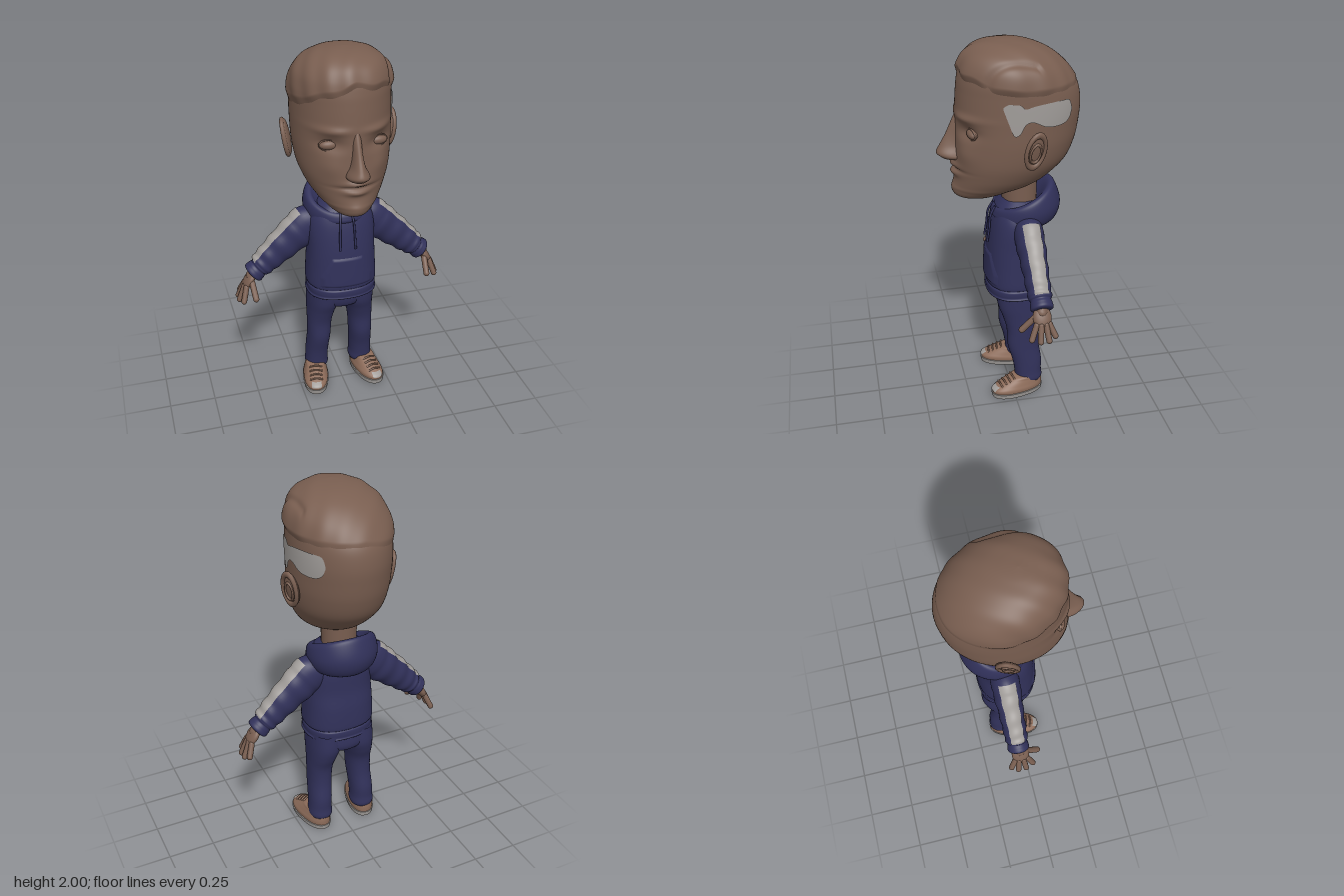
import * as THREE from 'three';

const material = (name, color) => {
  const m = new THREE.MeshStandardMaterial({ color, side: THREE.DoubleSide });
  m.name = name;
  return m;
};
const skin = material('skin brown', 0x795e50);
const navy = material('navy cloth', 0x31315a);
const grey = material('light grey', 0xa09c99);
const tan = material('shoe tan', 0x8d6c5a);

const V = (x, y, z) => new THREE.Vector3(x, y, z);
const TAU = Math.PI * 2;
const lerp = THREE.MathUtils.lerp;

// Smooth interpolation through table rows; t counts rows
function sample(rows, t) {
  const i = Math.min(Math.floor(t), rows.length - 2), f = t - i;
  const a = rows[Math.max(i - 1, 0)], b = rows[i], c = rows[i + 1], d = rows[Math.min(i + 2, rows.length - 1)];
  return b.map((_, k) => b[k] + 0.5 * f * (c[k] - a[k] + f * (2 * a[k] - 5 * b[k] + 4 * c[k] - d[k] + f * (3 * (b[k] - c[k]) + d[k] - a[k]))));
}
// Row position at a given height
function rowAt(rows, y) {
  let lo = 0, hi = rows.length - 1;
  for (let i = 0; i < 24; i++) {
    const m = (lo + hi) / 2;
    if (sample(rows, m)[0] < y) lo = m; else hi = m;
  }
  return sample(rows, lo);
}
// Point on a horizontal section [y, halfWidth, zFront, zBack, centreX]
function ring([y, rx, zf, zb, cx = 0], a, n = 2) {
  const c = Math.cos(a), s = Math.sin(a), pw = (q) => Math.sign(q) * Math.abs(q) ** (2 / n);
  return V(cx + rx * pw(c), y, (zf + zb) / 2 + (zf - zb) / 2 * pw(s));
}
// Grid surface from fn(u, v); side -1 mirrors it in x
function surface(name, mat, fn, nu, nv, closed = true, side = 1) {
  const pos = [], idx = [], w = closed ? nu : nu + 1;
  for (let j = 0; j <= nv; j++) for (let i = 0; i < w; i++) {
    const p = fn(i / nu, j / nv);
    pos.push(p.x * side, p.y, p.z);
  }
  for (let j = 0; j < nv; j++) for (let i = 0; i < nu; i++) {
    const a = j * w + i, b = j * w + (i + 1) % w, c = a + w, d = b + w;
    if (side > 0) idx.push(a, c, b, b, c, d); else idx.push(a, b, c, b, d, c);
  }
  const g = new THREE.BufferGeometry();
  g.setAttribute('position', new THREE.Float32BufferAttribute(pos, 3));
  g.setIndex(idx);
  g.computeVertexNormals();
  return mesh(name, g, mat);
}
function mesh(name, g, mat, p) {
  const m = new THREE.Mesh(g, mat);
  m.name = name;
  if (p) m.position.copy(p);
  return m;
}
const loft = (name, mat, rows, nu, nv, n = 2, side = 1) =>
  surface(name, mat, (u, v) => ring(sample(rows, v * (rows.length - 1)), u * TAU, n), nu, nv, true, side);
const tube = (name, mat, pts, r) => mesh(name, new THREE.TubeGeometry(new THREE.CatmullRomCurve3(pts), 16, r, 8), mat);
function ellipsoid(name, mat, p, sx, sy, sz) {
  const m = mesh(name, new THREE.SphereGeometry(1, 32, 20), mat, p);
  m.scale.set(sx, sy, sz);
  return m;
}
function capsule(name, mat, a, b, r) {
  const d = b.clone().sub(a), m = mesh(name, new THREE.CapsuleGeometry(r, d.length() - r, 6, 12), mat, a.clone().lerp(b, 0.5));
  m.quaternion.setFromUnitVectors(V(0, 1, 0), d.normalize());
  return m;
}

const HEAD = [
  [1.185, 0, 0.16, 0.16], [1.195, 0.08, 0.265, 0.05], [1.24, 0.14, 0.283, -0.08], [1.27, 0.168, 0.283, -0.16], [1.32, 0.2, 0.28, -0.23],
  [1.4, 0.232, 0.282, -0.305], [1.5, 0.248, 0.275, -0.345], [1.6, 0.252, 0.272, -0.362], [1.68, 0.253, 0.268, -0.367], [1.76, 0.252, 0.262, -0.355],
  [1.82, 0.248, 0.255, -0.325], [1.88, 0.23, 0.24, -0.275], [1.93, 0.19, 0.21, -0.21], [1.965, 0.135, 0.16, -0.13], [1.982, 0.07, 0.1, -0.05], [1.988, 0, 0.03, 0.03]];
// Face modelling: [x, y, depth, spreadX, spreadY], mirrored in x
const FACE = [[0.12, 1.575, -0.026, 0.06, 0.035], [0.12, 1.645, 0.014, 0.08, 0.02], [0, 1.378, 0.018, 0.06, 0.016],
  [0, 1.332, 0.02, 0.055, 0.016], [0, 1.356, -0.014, 0.1, 0.008], [0, 1.235, 0.014, 0.06, 0.035], [0.13, 1.46, 0.01, 0.05, 0.05]];

function head() {
  const g = new THREE.Group();
  g.name = 'head';
  g.add(surface('face and skull', skin, (u, v) => {
    const p = ring(sample(HEAD, v * 15), u * TAU);
    if (p.z > 0) for (const [x, y, d, sx, sy] of FACE)
      p.z += d * Math.exp(-(((Math.abs(p.x) - x) / sx) ** 2) - ((p.y - y) / sy) ** 2);
    return p;
  }, 96, 150));
  // Swept hair shell, thick in front and fading into the back
  g.add(surface('hair', skin, (u, v) => {
    const a = u * TAU, c = Math.cos(a), s = Math.sin(a);
    const start = 9.1 + 1.2 * Math.max(0, s) ** 1.5 - 0.9 * Math.max(0, -c) + 0.15 * Math.sin(a * 9) * Math.max(0, s);
    const p = ring(sample(HEAD, lerp(start, 15, v)), a);
    const rise = Math.min(1, v * 9), back = Math.max(0, -s);
    const strands = 0.0045 * Math.sin(70 * (p.x * 0.75 + p.z * 0.5) + 14 * p.y) * (1 - back * 0.8) * (1 - v);
    const part = -0.014 * Math.exp(-(((p.x - 0.2) / 0.012) ** 2)) * (s > -0.4 ? 1 : 0);
    const lift = -0.006 + rise * (0.019 - 0.008 * back * (1 - v) + strands + part * (1 - v));
    return p.add(V(p.x, p.y - 1.7, p.z + 0.04).normalize().multiplyScalar(lift));
  }, 128, 60));
  g.add(loft('nose', skin, [[1.395, 0, 0.27, 0.27], [1.402, 0.04, 0.325, 0.2], [1.418, 0.058, 0.352, 0.2], [1.438, 0.054, 0.37, 0.2],
    [1.475, 0.036, 0.353, 0.2], [1.53, 0.026, 0.322, 0.2], [1.6, 0.023, 0.29, 0.2], [1.66, 0.02, 0.262, 0.2]], 32, 35));
  for (const s of [-1, 1]) {
    g.add(ellipsoid('eye', skin, V(s * 0.12, 1.57, 0.2), 0.052, 0.026, 0.03));
    const lid = mesh('eyelid', new THREE.TorusGeometry(1, 0.13, 8, 32), skin, V(s * 0.12, 1.57, 0.214));
    lid.scale.set(0.052, 0.029, 0.045);
    lid.rotation.y = s * 0.35;
    g.add(lid);
    // Ear with rolled rim and inner fold
    const ear = new THREE.Group();
    ear.name = 'ear';
    ear.add(ellipsoid('ear bowl', skin, V(0, 0, 0), 0.016, 0.095, 0.056));
    for (const [k, y] of [[1, 0], [0.55, -0.01]]) {
      const rim = mesh('ear rim', new THREE.TorusGeometry(1, 0.2, 10, 32), skin, V(s * 0.01, y, 0.004));
      rim.rotation.y = Math.PI / 2;
      rim.scale.set(0.05 * k, 0.088 * k, 0.06);
      ear.add(rim);
    }
    ear.position.set(s * 0.266, 1.515, -0.082);
    ear.rotation.set(-0.12, s * 0.3, -s * 0.14);
    g.add(ear);
  }
  // Shaved light patch over the left ear: [z, bottom, top]
  const patch = [[-0.282, 1.685, 1.69], [-0.265, 1.64, 1.735], [-0.22, 1.62, 1.743], [-0.14, 1.625, 1.742], [-0.075, 1.655, 1.735],
    [-0.035, 1.645, 1.725], [-0.01, 1.6, 1.745], [0.02, 1.59, 1.748], [0.045, 1.65, 1.75], [0.07, 1.72, 1.735]];
  g.add(surface('side patch', grey, (u, v) => {
    const [z, lo, hi] = sample(patch, u * 9), y = lerp(lo, hi, v), [, rx, zf, zb] = rowAt(HEAD, y);
    const d = (z - (zf + zb) / 2) / ((zf - zb) / 2);
    return V(rx * Math.sqrt(Math.max(0, 1 - d * d)) + 0.006, y, z);
  }, 45, 10, false));
  g.add(mesh('neck', new THREE.CylinderGeometry(0.095, 0.09, 0.28, 32), skin, V(0, 1.17, -0.06)));
  return g;
}

const TORSO = [[0.61, 0, -0.04, -0.04], [0.612, 0.178, 0.11, -0.188], [0.63, 0.188, 0.122, -0.197], [0.66, 0.19, 0.124, -0.198], [0.672, 0.184, 0.118, -0.193],
  [0.69, 0.193, 0.125, -0.202], [0.8, 0.188, 0.121, -0.198], [0.9, 0.183, 0.114, -0.184], [1, 0.182, 0.1, -0.18], [1.07, 0.17, 0.084, -0.17],
  [1.12, 0.14, 0.065, -0.16], [1.16, 0.09, 0.03, -0.13]];

function hoodie() {
  const g = new THREE.Group();
  g.name = 'hoodie';
  g.add(loft('torso', navy, TORSO, 64, 66, 2.4));
  // Hood folded around the neck: [halfWidth, zFront, zBack, yFront, yBack]
  const hood = [[0.07, 0.01, -0.13, 1.06, 1.1], [0.13, 0.045, -0.19, 1.095, 1.215], [0.152, 0.06, -0.225, 1.115, 1.247], [0.178, 0.078, -0.25, 1.11, 1.225],
    [0.188, 0.088, -0.278, 1.09, 1.13], [0.174, 0.088, -0.25, 1.065, 1.045], [0.13, 0.05, -0.17, 1.03, 1]];
  g.add(surface('hood', navy, (u, v) => {
    const [rx, zf, zb, yf, yb] = sample(hood, (1 - v) * 6), a = u * TAU;
    return ring([lerp(yf, yb, (1 - Math.sin(a)) / 2), rx, zf, zb], a);
  }, 64, 36));
  // Front pouch following the belly
  g.add(surface('pouch', navy, (u, v) => {
    const y = lerp(0.69, 0.87, v), w = y < 0.75 ? 0.15 : lerp(0.15, 0.085, (y - 0.75) / 0.12);
    const [, rx, zf, zb] = rowAt(TORSO, y), x = w * (1 - 2 * u);
    const edge = Math.min(1, 12 * Math.min(u, 1 - u, v, 1 - v));
    return V(x, y, (zf + zb) / 2 + (zf - zb) / 2 * (1 - Math.abs(x / rx) ** 2.4) ** (1 / 2.4) + 0.009 * edge - 0.002);
  }, 48, 36, false));
  for (const s of [-1, 1])
    g.add(tube('drawstring', navy, [V(s * 0.03, 1.12, 0.075), V(s * 0.036, 1.07, 0.1), V(s * 0.04, 1, 0.108), V(s * 0.042, 0.92, 0.12)], 0.006));
  return g;
}

// Sleeve stations: [x, y, radius in the arm plane, radius in z]
const ARM = [[0.1, 1.055, 0.07, 0.06], [0.16, 1.02, 0.104, 0.076], [0.24, 0.955, 0.097, 0.074], [0.33, 0.88, 0.084, 0.066], [0.4, 0.818, 0.072, 0.062],
  [0.438, 0.785, 0.063, 0.06], [0.448, 0.776, 0.054, 0.053], [0.462, 0.764, 0.058, 0.057], [0.484, 0.744, 0.055, 0.054], [0.486, 0.742, 0, 0]];
function armPoint(t, a, extra = 0) {
  const [x, y, r, rz] = sample(ARM, t), n = V(-0.65, -0.76, 0);
  return V(x, y, -0.075).addScaledVector(n, (r + extra) * Math.cos(a)).add(V(0, 0, (rz + extra) * Math.sin(a)));
}

function arm(s) {
  const g = new THREE.Group();
  g.name = s > 0 ? 'left arm' : 'right arm';
  const wrinkle = (t, a) => 0.003 * Math.sin(t * 7 + Math.sin(a)) * (t > 1.5 && t < 5 ? 1 : 0);
  g.add(surface('sleeve', navy, (u, v) => armPoint(v * 9, u * TAU, wrinkle(v * 9, u * TAU)), 40, 72, true, s));
  g.add(surface('sleeve stripe', grey, (u, v) => {
    const t = lerp(1, 5, v), a = Math.PI + lerp(-0.6, 0.6, u);
    return armPoint(t, a, wrinkle(t, a) + 0.004);
  }, 12, 40, false, s));
  // Hand with spread fingers
  const P = (x, y, z) => V(s * x, y, z);
  const palm = ellipsoid('palm', skin, P(0.505, 0.712, -0.07), 0.024, 0.06, 0.048);
  palm.rotation.z = s * 0.6;
  g.add(palm, capsule('wrist', skin, P(0.465, 0.765, -0.073), P(0.5, 0.72, -0.07), 0.031));
  const fingers = [[0.522, -0.1, 0.552, 0.615, -0.132], [0.528, -0.083, 0.568, 0.6, -0.095], [0.53, -0.06, 0.568, 0.598, -0.05], [0.524, -0.04, 0.55, 0.605, -0.006]];
  for (const [x, z, tx, ty, tz] of fingers) g.add(capsule('finger', skin, P(x, 0.69, z), P(tx, ty, tz), 0.0155));
  g.add(capsule('thumb', skin, P(0.495, 0.715, -0.04), P(0.487, 0.635, 0.036), 0.0165));
  return g;
}

const LEG = [[0.07, 0.06, -0.025, -0.16, 0.13], [0.09, 0.066, -0.015, -0.167, 0.131], [0.13, 0.063, -0.012, -0.163, 0.131], [0.2, 0.063, 0, -0.163, 0.128],
  [0.3, 0.064, 0.026, -0.148, 0.122], [0.4, 0.068, 0.03, -0.15, 0.118], [0.48, 0.078, 0.05, -0.178, 0.108], [0.55, 0.09, 0.074, -0.195, 0.096], [0.64, 0.09, 0.085, -0.19, 0.093]];
const UPPER = [[0.02, 0.068, 0.145, -0.146], [0.045, 0.07, 0.145, -0.147], [0.065, 0.064, 0.115, -0.146], [0.09, 0.056, 0.065, -0.14], [0.108, 0.048, 0.02, -0.13], [0.115, 0, -0.05, -0.05]];

function shoe(s) {
  const g = new THREE.Group();
  g.name = s > 0 ? 'left shoe' : 'right shoe';
  const edge = [0, 0.07, 0.147, -0.147], top = [0.028, 0.075, 0.152, -0.151];
  g.add(loft('sole', grey, [[0, 0, 0, 0], edge, edge, top, top, [0.03, 0, 0, 0]], 48, 5, 2.3));
  g.add(loft('shoe upper', tan, UPPER, 48, 30, 2.3));
  g.add(surface('toe cap', grey, (u, v) => ring(sample(UPPER, lerp(0.8, 1.9, v)), lerp(1.2, 1.94, u), 2.3).add(V(0, 0.002, 0.004)), 12, 8, false));
  for (let i = 0; i < 4; i++) {
    const z = 0.1 - i * 0.024, y = 0.075 + i * 0.012;
    g.add(tube('lace', tan, [V(-0.036, y - 0.008, z), V(0, y + 0.004, z + 0.004), V(0.036, y - 0.008, z)], 0.005));
  }
  g.position.set(s * 0.154, 0, -0.02);
  g.rotation.y = s * 0.2;
  return g;
}

export function createModel() {
  const model = new THREE.Group();
  model.name = 'big-headed figure';
  model.add(head(), hoodie());
  model.add(loft('trouser seat', navy, [[0.5, 0, -0.06, -0.06], [0.52, 0.08, 0.045, -0.165], [0.56, 0.165, 0.077, -0.197], [0.64, 0.184, 0.085, -0.19]], 48, 18, 2.3));
  for (const s of [-1, 1]) {
    model.add(arm(s), loft(s > 0 ? 'left trouser leg' : 'right trouser leg', navy, LEG, 40, 48, 2.2, s), shoe(s));
  }
  return model;
}
